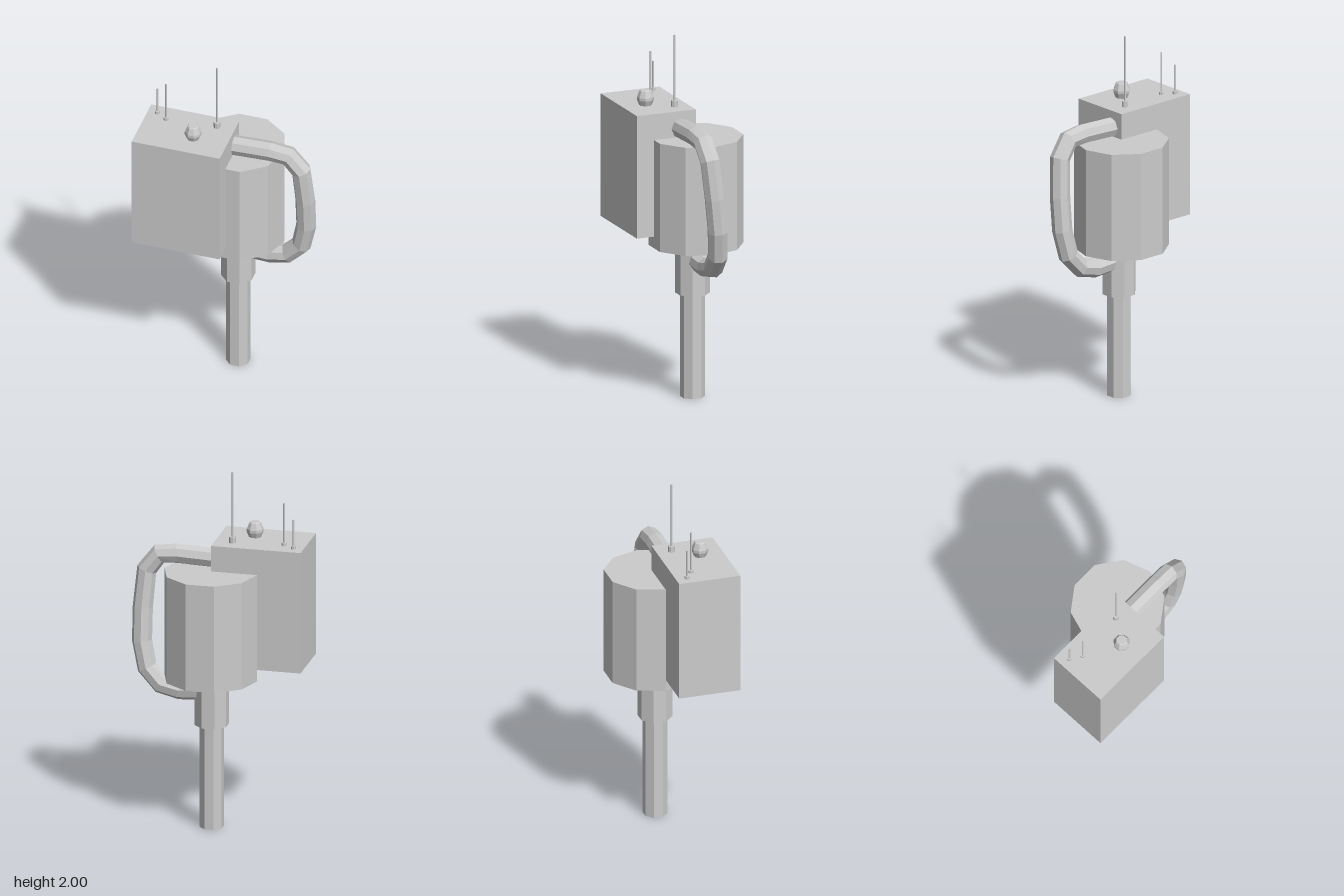
import * as THREE from 'three';

export function createModel() {
  const group = new THREE.Group();
  const mat = new THREE.MeshStandardMaterial({ color: 0xcccccc, flatShading: true });

  function add(name, geometry, x = 0, y = 0, z = 0) {
    const mesh = new THREE.Mesh(geometry, mat);
    mesh.name = name;
    mesh.position.set(x, y, z);
    group.add(mesh);
    return mesh;
  }

  // Upright prism between two heights, turned by thetaStart
  function prism(name, r, y0, y1, x, z, sides, turn = Math.PI / sides) {
    const geo = new THREE.CylinderGeometry(r, r, y1 - y0, sides, 1, false, turn);
    return add(name, geo, x, (y0 + y1) / 2, z);
  }

  // Pole, collar and ten-sided drum
  prism('pole', 0.067, 0, 0.58, 0.023, -0.03, 8);
  prism('collar', 0.094, 0.58, 0.86, 0.023, -0.03, 8);
  prism('drum', 0.257, 0.85, 1.455, 0.023, -0.05, 10);

  // Equipment box
  add('equipmentBox', new THREE.BoxGeometry(0.497, 0.685, 0.345), -0.2265, 1.2575, 0.1225);

  // Knob on the box lid
  const profile = [[0, 0], [0.034, 0], [0.046, 0.03], [0.046, 0.045], [0.032, 0.08], [0.026, 0.085], [0, 0.085]]
    .map(([r, y]) => new THREE.Vector2(r, y));
  const knob = new THREE.LatheGeometry(profile, 8, Math.PI / 8);
  add('knob', knob, -0.17, 1.6, 0.163);

  // Antennas: x, z, tip height, base radius, base height
  for (const [x, z, tip, r, h] of [
    [-0.42, 0.012, 1.765, 0.014, 0.016],
    [-0.358, 0.053, 1.84, 0.014, 0.016],
    [-0.077, 0.032, 2.0, 0.018, 0.034],
  ]) {
    prism('antennaBase', r, 1.6, 1.6 + h, x, z, 8);
    prism('antennaRod', 0.005, 1.6, tip, x, z, 6);
  }

  // Bent conduit from the box down to the collar, leaning backwards towards its foot
  const path = [[-0.08, 1.505], [0.02, 1.505], [0.23, 1.513], [0.33, 1.503], [0.398, 1.413], [0.415, 1.206],
    [0.415, 1.02], [0.383, 0.873], [0.304, 0.788], [0.2, 0.765], [0.09, 0.772], [0.03, 0.775]]
    .map(([x, y]) => new THREE.Vector3(x, y, -0.033 + (y - 0.77) * 0.095));
  const curve = new THREE.CatmullRomCurve3(path);
  // One ring per path point
  curve.getPointAt = (t, v) => curve.getPoint(t, v);
  curve.getTangentAt = (t, v) => curve.getTangent(t, v);
  add('conduit', new THREE.TubeGeometry(curve, path.length - 1, 0.055, 8));

  return group;
}
